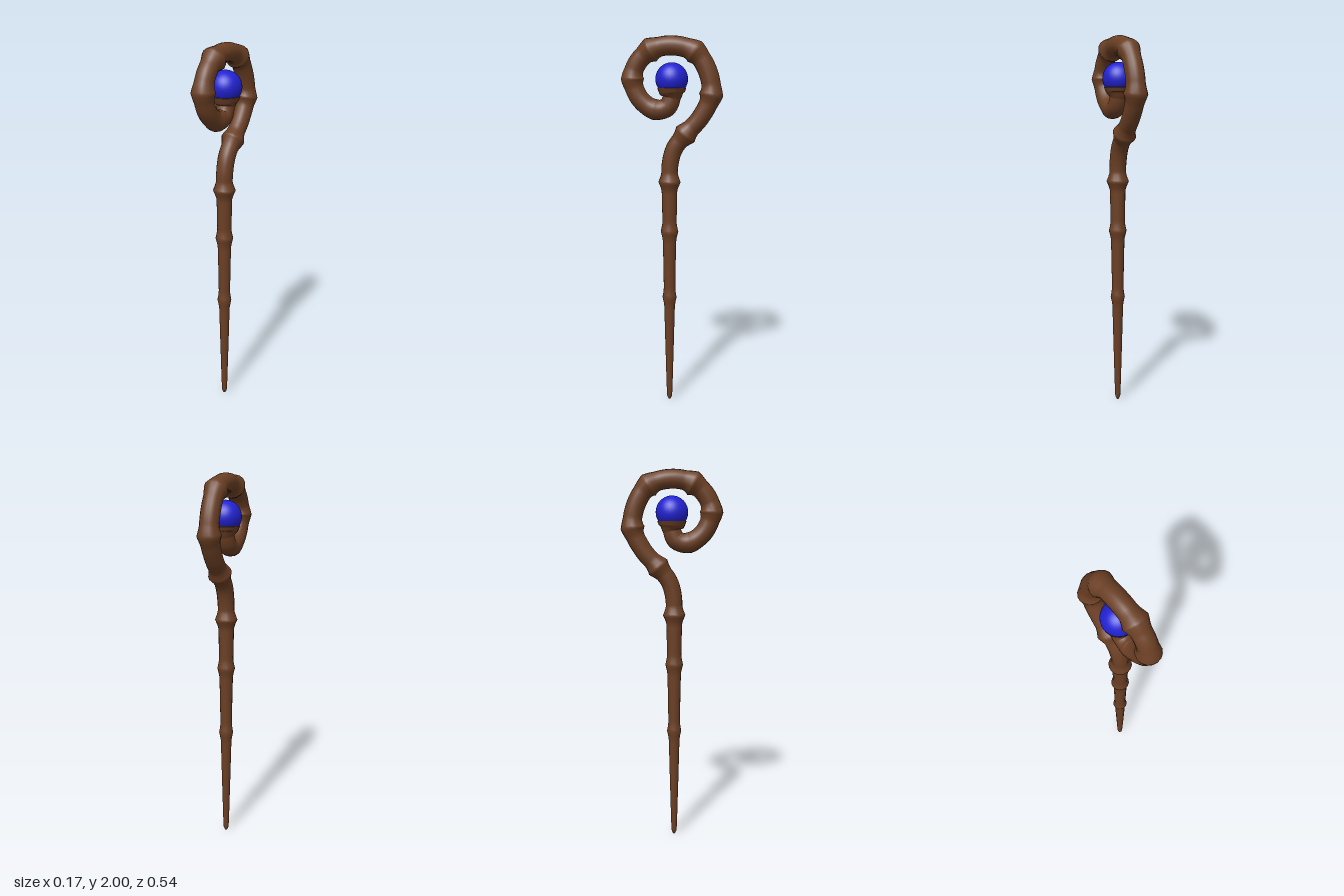
import * as THREE from 'three';

// Path of the staff in the side plane: [z, y, radius, knot swell]
const PATH = [
  [0.012, 0.0, 0.006, 0], [0.012, 0.02, 0.014, 0], [0.012, 0.3, 0.023, 0],
  [0.012, 0.6, 0.031, 0.008], [0.012, 0.8, 0.034, 0], [0.012, 0.97, 0.038, 0.01],
  [0.012, 1.1, 0.04, 0], [0.012, 1.24, 0.043, 0.017], [0.008, 1.34, 0.045, 0],
  [-0.015, 1.42, 0.046, 0], [-0.073, 1.495, 0.047, 0.016], [-0.153, 1.585, 0.048, 0],
  [-0.206, 1.70, 0.05, 0.013], [-0.187, 1.82, 0.05, 0], [-0.12, 1.917, 0.05, 0.013],
  [0.0, 1.95, 0.05, 0], [0.11, 1.927, 0.05, 0.016], [0.182, 1.86, 0.05, 0],
  [0.207, 1.78, 0.05, 0.012], [0.17, 1.68, 0.05, 0], [0.09, 1.623, 0.051, 0.004],
  [0.025, 1.635, 0.05, 0], [0.0, 1.685, 0.047, 0], [0.0, 1.712, 0.068, 0], [0.0, 1.735, 0.077, 0],
];
const SIDES = 16, STEPS = 12, FLARE = 0.05;

function staffGeometry() {
  const points = PATH.map(([z, y]) => new THREE.Vector3(0, y, z));
  const curve = new THREE.CatmullRomCurve3(points, false, 'centripetal');
  const rings = (PATH.length - 1) * STEPS;
  const X = new THREE.Vector3(1, 0, 0);
  const positions = [], index = [];

  for (let i = 0; i <= rings; i++) {
    const p = curve.getPoint(i / rings);
    const n = curve.getTangent(i / rings).cross(X).normalize();
    const k = Math.min(Math.floor(i / STEPS), PATH.length - 2);
    let r = THREE.MathUtils.lerp(PATH[k][2], PATH[k + 1][2], i / STEPS - k);
    // swell to a ridge at each knot
    PATH.forEach((q, j) => {
      if (q[3]) r += q[3] * Math.max(0, 1 - p.distanceTo(points[j]) / FLARE) ** 1.3;
    });
    for (let j = 0; j < SIDES; j++) {
      const a = (j / SIDES) * Math.PI * 2;
      const v = p.clone().addScaledVector(X, r * Math.cos(a)).addScaledVector(n, r * Math.sin(a));
      positions.push(v.x, v.y, v.z);
    }
  }
  for (let i = 0; i < rings; i++) {
    for (let j = 0; j < SIDES; j++) {
      const a = i * SIDES + j, b = i * SIDES + ((j + 1) % SIDES);
      index.push(a, b, a + SIDES, b, b + SIDES, a + SIDES);
    }
  }
  // end caps
  const base = (rings + 1) * SIDES, last = rings * SIDES;
  for (const p of [points[0], points[points.length - 1]]) positions.push(p.x, p.y, p.z);
  for (let j = 0; j < SIDES; j++) {
    const next = (j + 1) % SIDES;
    index.push(base, next, j, base + 1, last + j, last + next);
  }
  const geometry = new THREE.BufferGeometry();
  geometry.setAttribute('position', new THREE.Float32BufferAttribute(positions, 3));
  geometry.setIndex(index);
  geometry.computeVertexNormals();
  return geometry;
}

export function createModel() {
  const wood = new THREE.MeshStandardMaterial({ color: 0x6b3f24 });
  wood.name = 'brown wood';
  const blue = new THREE.MeshStandardMaterial({ color: 0x2222d2 });
  blue.name = 'blue gem';

  const group = new THREE.Group();
  group.name = 'staff';

  // knotted shaft, crook and the cup at its inner end
  const shaft = new THREE.Mesh(staffGeometry(), wood);
  shaft.name = 'shaftAndCrook';

  // orb resting in the cup
  const orb = new THREE.Mesh(new THREE.SphereGeometry(0.085, 32, 20), blue);
  orb.name = 'orb';
  orb.position.set(0, 1.78, 0);

  group.add(shaft, orb);
  return group;
}
